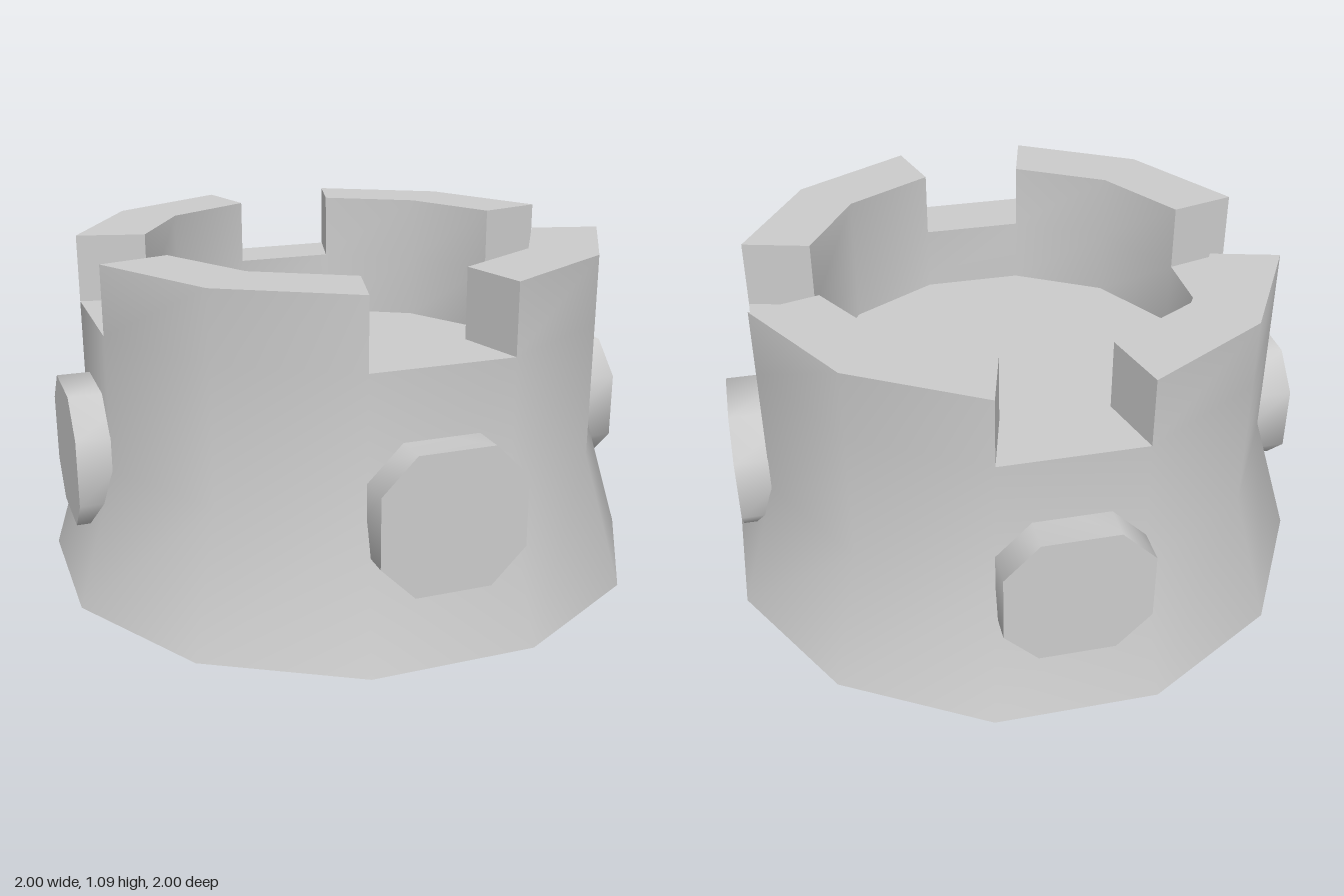
import * as THREE from 'three';
import { toCreasedNormals } from 'three/addons/utils/BufferGeometryUtils.js';

const SIDES = 12;
const STEP = (Math.PI * 2) / SIDES;
const OUTER = 0.868, INNER = 0.645;
const SILL = 0.87, TOP = 1.09, FLOOR = 0.65;
const CREASE = 0.9;

// Point at angle a for a [radius, height] pair
const at = (a, [r, y]) => [Math.sin(a) * r, y, Math.cos(a) * r];

// Hollow tower with flared foot and four notches in the rim
function towerGeometry() {
  const lower = [[0, 0], [1, 0], [OUTER, 0.435], [OUTER, SILL]];
  const crest = [[OUTER, TOP], [INNER, TOP]];
  const pit = [[INNER, SILL], [INNER, FLOOR], [0, FLOOR]];
  const pos = [];
  const tri = (a, b, c) => pos.push(...a, ...b, ...c);
  const quad = (a, b, c, d) => { tri(a, b, c); tri(a, c, d); };

  for (let i = 0; i < SIDES; i++) {
    const a0 = i * STEP, a1 = (i + 1) * STEP;
    const notch = i % 3 === 1;
    const profile = notch ? [...lower, ...pit] : [...lower, ...crest, ...pit];
    for (let j = 0; j < profile.length - 1; j++) {
      const p = profile[j], q = profile[j + 1];
      if (p[0] === 0) tri(at(a0, p), at(a1, q), at(a0, q));
      else if (q[0] === 0) tri(at(a0, p), at(a1, p), at(a0, q));
      else quad(at(a0, p), at(a1, p), at(a1, q), at(a0, q));
    }
    // Radial side walls of the notch
    if (notch) {
      const wall = [[OUTER, SILL], [INNER, SILL], [INNER, TOP], [OUTER, TOP]];
      quad(...wall.map((p) => at(a0, p)));
      quad(...wall.map((p) => at(a1, p)).reverse());
    }
  }
  const geo = new THREE.BufferGeometry();
  geo.setAttribute('position', new THREE.Float32BufferAttribute(pos, 3));
  return toCreasedNormals(geo, CREASE);
}

// Eight-sided stud standing out from the wall
function studGeometry() {
  const w = 0.227, h = 0.217, c = 0.108;
  const outline = [
    [w, -h + c], [w, h - c], [w - c, h], [-w + c, h],
    [-w, h - c], [-w, -h + c], [-w + c, -h], [w - c, -h],
  ].map(([x, y]) => new THREE.Vector2(x, y));
  const geo = new THREE.ExtrudeGeometry(new THREE.Shape(outline), { depth: 0.245, bevelEnabled: false });
  geo.translate(0, 0.438, 0.7);
  return toCreasedNormals(geo, CREASE);
}

export function createModel() {
  const group = new THREE.Group();
  group.name = 'castleTower';
  const material = new THREE.MeshStandardMaterial({ color: 0xcccccc });

  const tower = new THREE.Mesh(towerGeometry(), material);
  tower.name = 'notchedTower';
  group.add(tower);

  // One stud below each notch
  const stud = studGeometry();
  ['frontLeft', 'backLeft', 'backRight', 'frontRight'].forEach((place, i) => {
    const mesh = new THREE.Mesh(stud, material);
    mesh.name = place + 'Stud';
    mesh.rotation.y = Math.PI / 4 + (i * Math.PI) / 2;
    group.add(mesh);
  });
  return group;
}
